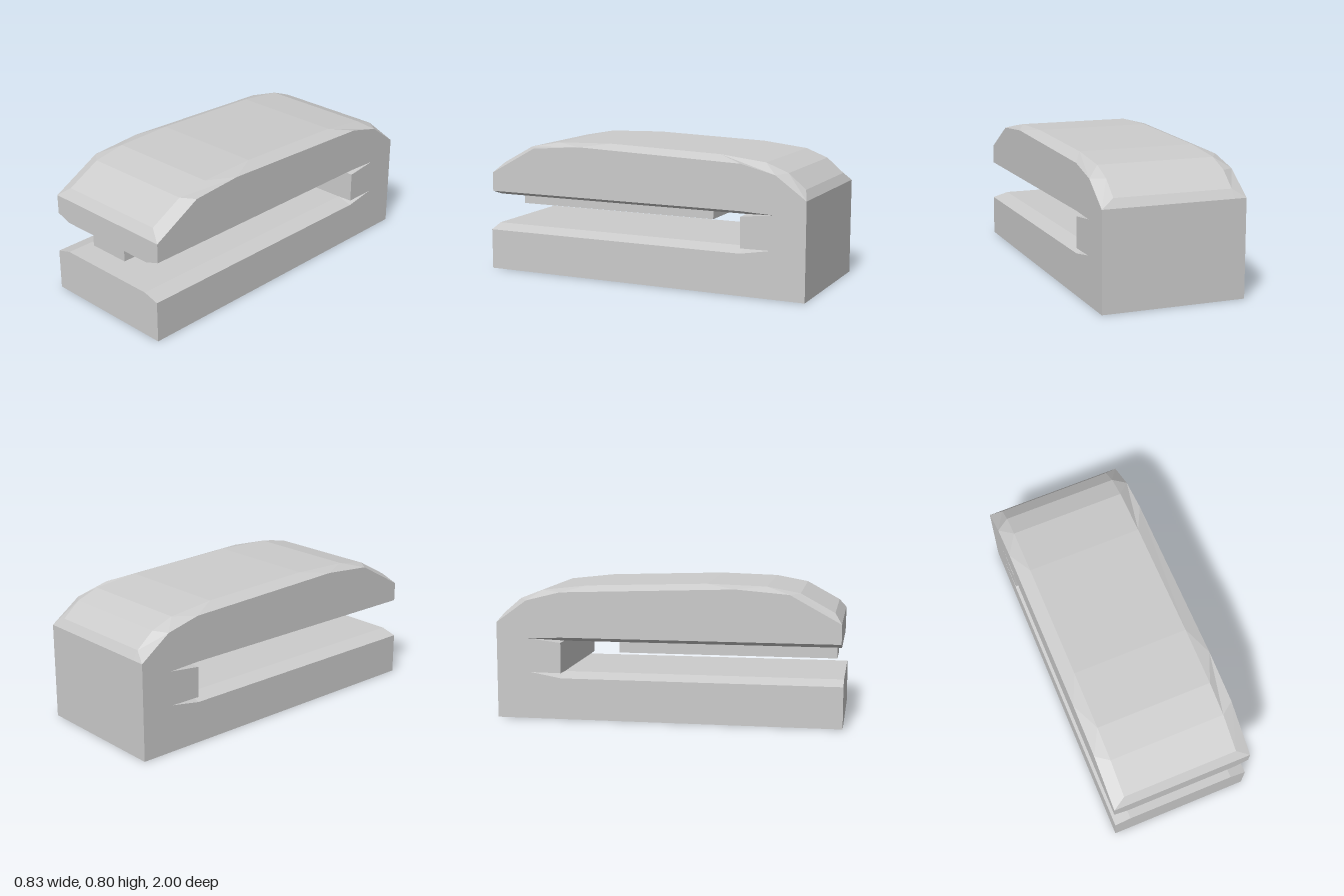
import * as THREE from 'three';

const HALF = 0.415; // half width of the body

// Side profile: [outer z, outer y, inner z, inner y, inner x].
// The outer ring lies on the flat sides, the inner ring is where the chamfers end.
const PROFILE = [
  // lower jaw front
  [1, 0, 1, 0, 0.32],
  [1, 0.24, 1, 0.267, 0.32],
  // slot with chamfers tapering into the sides behind its end wall
  [-0.62, 0.24, -0.62, 0.267, 0.32],
  [-0.8, 0.272, -0.62, 0.267, 0.32],
  [-0.62, 0.27, -0.62, 0.267, 0.32],
  [-0.62, 0.447, -0.62, 0.447, 0.32],
  [-0.81, 0.47, -0.62, 0.447, 0.32],
  [-0.62, 0.478, -0.62, 0.447, 0.32],
  // upper jaw front
  [0.985, 0.478, 0.985, 0.447, 0.32],
  [0.985, 0.59, 0.985, 0.59, 0.34],
  // rounded top, front to back
  [0.985, 0.59, 0.945, 0.645, 0.34],
  [0.695, 0.75, 0.75, 0.752, 0.34],
  [0.39, 0.775, 0.56, 0.787, 0.34],
  [0.39, 0.775, 0.22, 0.797, 0.34],
  [-0.62, 0.74, -0.47, 0.775, 0.34],
  [-0.82, 0.69, -0.74, 0.745, 0.34],
  [-0.82, 0.69, -0.87, 0.695, 0.34],
  [-1, 0.56, -0.97, 0.61, 0.34],
  [-1, 0.56, -1, 0.56, 0.34],
  [-1, 0, -1, 0, 0.32],
];

function bodyGeometry() {
  const positions = [];
  const tri = (a, b, c) => positions.push(...a, ...b, ...c);
  const outer = (s) => PROFILE.map(([z, y]) => [s * HALF, y, z]);
  const inner = (s) => PROFILE.map((p) => [s * p[4], p[3], p[2]]);
  const rings = [outer(-1), inner(-1), inner(1), outer(1)];

  // Skin between neighbouring rings
  for (let r = 0; r < 3; r++) {
    const q = rings[r], p = rings[r + 1];
    for (let j = 0; j < p.length; j++) {
      const k = (j + 1) % p.length;
      tri(q[j], p[j], p[k]);
      tri(q[j], p[k], q[k]);
    }
  }

  // Flat sides
  const ids = PROFILE.map((_, i) => i).filter((i) => {
    const n = PROFILE[(i + 1) % PROFILE.length];
    return PROFILE[i][0] !== n[0] || PROFILE[i][1] !== n[1];
  });
  const contour = ids.map((i) => new THREE.Vector2(PROFILE[i][0], PROFILE[i][1]));
  for (const f of THREE.ShapeUtils.triangulateShape(contour, [])) {
    const [a, b, c] = f.map((i) => ids[i]);
    tri(rings[0][a], rings[0][b], rings[0][c]);
    tri(rings[3][c], rings[3][b], rings[3][a]);
  }

  const geometry = new THREE.BufferGeometry();
  geometry.setAttribute('position', new THREE.Float32BufferAttribute(positions, 3));
  geometry.computeVertexNormals();
  return geometry;
}

export function createModel() {
  const group = new THREE.Group();
  group.name = 'stapler';
  const material = new THREE.MeshStandardMaterial({ color: 0xcccccc, flatShading: true });

  // One-piece body with two jaws
  const body = new THREE.Mesh(bodyGeometry(), material);
  body.name = 'body';
  group.add(body);

  // Rail hanging under the upper jaw
  const rail = new THREE.Mesh(new THREE.BoxGeometry(0.26, 0.11, 1.285), material);
  rail.name = 'stapleRail';
  rail.position.set(-0.02, 0.412, 0.3125);
  group.add(rail);

  return group;
}
